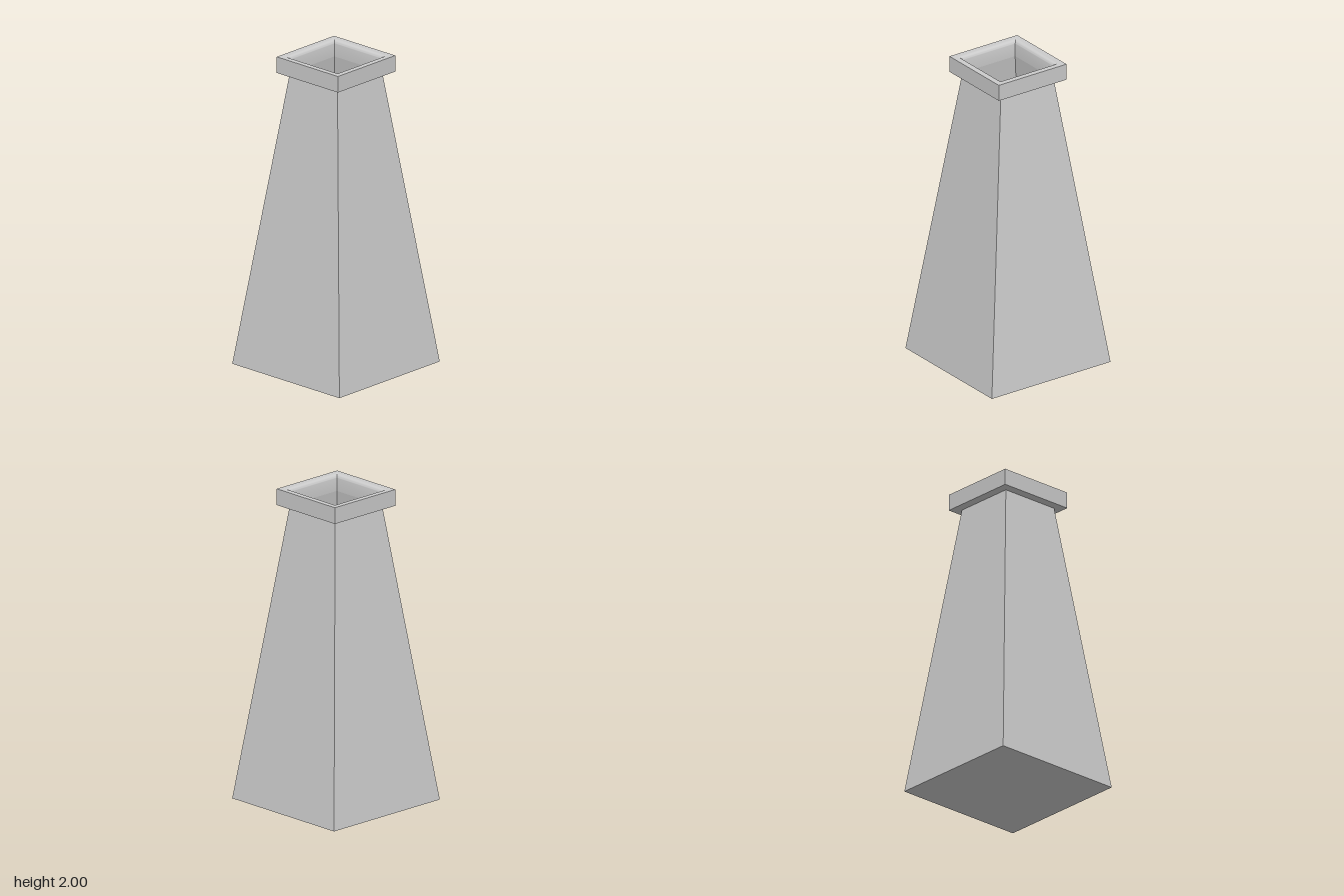
import * as THREE from 'three';
import { toCreasedNormals } from 'three/addons/utils/BufferGeometryUtils.js';

const material = new THREE.MeshStandardMaterial({ color: 0xcccccc, side: THREE.DoubleSide });

// Sweeps a [halfWidth, y] profile around a square plan.
function squareLathe(name, profile) {
  const points = profile.map(([half, y]) => new THREE.Vector2(half * Math.SQRT2, y));
  const geometry = new THREE.LatheGeometry(points, 4).rotateY(Math.PI / 4);
  const mesh = new THREE.Mesh(toCreasedNormals(geometry, 0.5), material);
  mesh.name = name;
  return mesh;
}

export function createModel() {
  const group = new THREE.Group();
  group.name = 'chimney';

  const capBottom = 1.895, top = 2, inner = 0.2, outer = 0.257, round = 0.028;

  // Hollow tapered shaft with a closed base
  group.add(squareLathe('shaft', [[0, 0], [0.45, 0], [inner, capBottom]]));

  // Square cap ring with a rounded inner lip
  const lip = [];
  for (let i = 0; i <= 8; i++) {
    const a = (i / 8) * Math.PI / 2;
    lip.push([inner + round * (1 - Math.sin(a)), top - round * (1 - Math.cos(a))]);
  }
  group.add(squareLathe('cap', [
    [inner, capBottom], [outer, capBottom], [outer, top], ...lip, [inner, capBottom],
  ]));

  return group;
}
